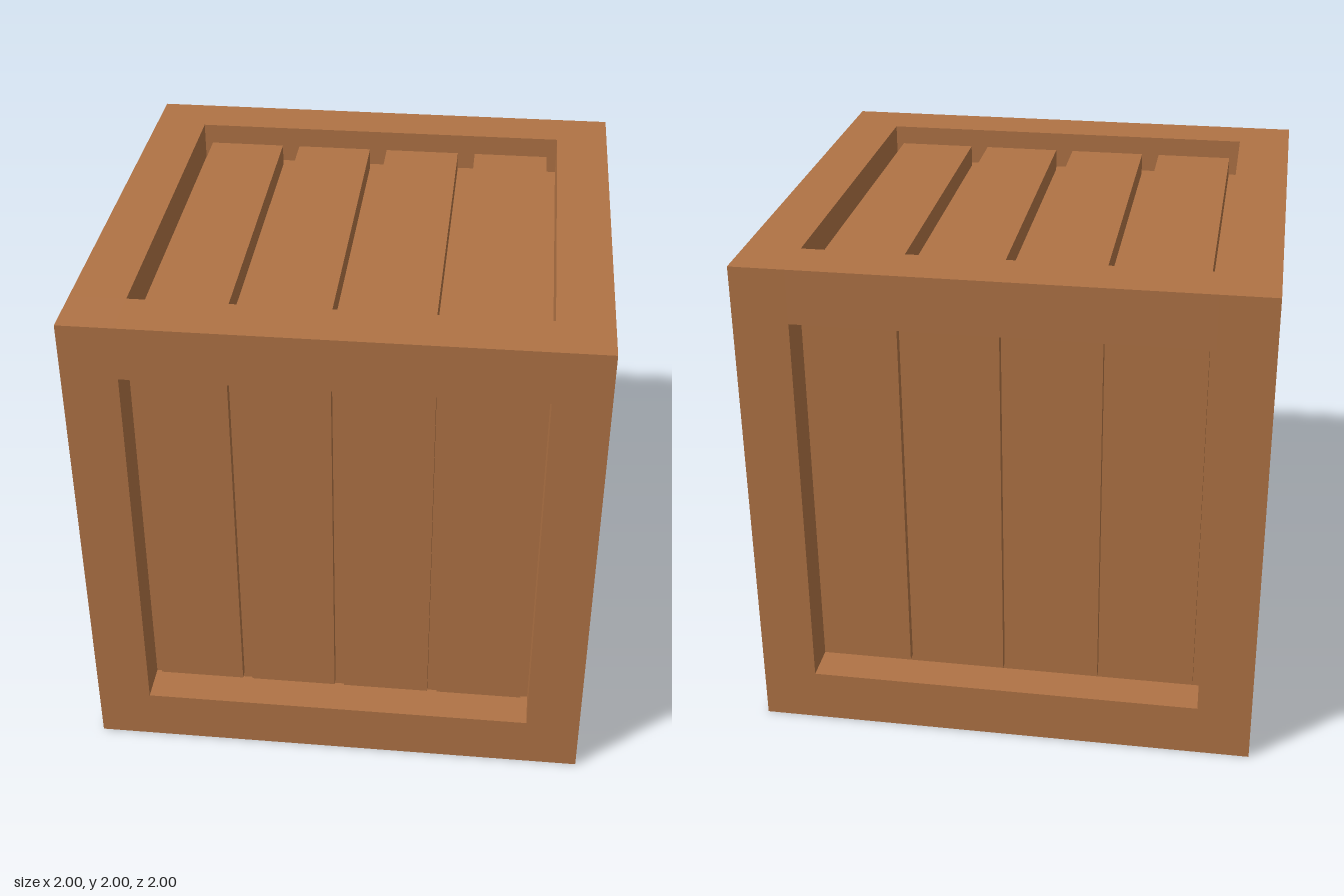
import * as THREE from 'three';

const BEAM = 0.215;   // thickness of the frame timbers
const RECESS = 0.155; // depth of the inner panels

export function createModel() {
  const crate = new THREE.Group();
  crate.name = 'crate';
  const wood = new THREE.MeshStandardMaterial({ color: 0xb07345 });
  wood.name = 'wood';

  const box = (parent, name, size, pos) => {
    const mesh = new THREE.Mesh(new THREE.BoxGeometry(...size), wood);
    mesh.name = name;
    mesh.position.set(...pos);
    parent.add(mesh);
    return mesh;
  };

  // Frame: four corner posts and eight rails between them
  const frame = new THREE.Group();
  frame.name = 'frame';
  crate.add(frame);
  const off = 1 - BEAM / 2;
  const span = 2 - 2 * BEAM;
  for (const a of [-1, 1]) {
    for (const b of [-1, 1]) {
      box(frame, 'cornerPost', [BEAM, 2, BEAM], [a * off, 1, b * off]);
      box(frame, 'railAcross', [span, BEAM, BEAM], [0, 1 + a * off, b * off]);
      box(frame, 'railDeep', [BEAM, BEAM, span], [a * off, 1 + b * off, 0]);
    }
  }

  // Inner box: the recessed panels behind the slats, and the plain underside
  const core = 2 - 2 * RECESS;
  box(crate, 'innerPanels', [core, core, core], [0, 1, 0]);

  // Four slats standing on the panel, laid out in a local XY plane facing +z
  const slats = (name, width, pitch, length, depth) => {
    const group = new THREE.Group();
    group.name = name;
    group.position.y = 1;
    const thick = RECESS - depth;
    for (let i = 0; i < 4; i++) {
      box(group, 'slat', [width, length, thick], [(i - 1.5) * pitch, 0, 1 - RECESS + thick / 2]);
    }
    crate.add(group);
    return group;
  };

  // Upright slats on the four sides
  ['frontSlats', 'leftSlats', 'backSlats', 'rightSlats'].forEach((name, i) => {
    slats(name, 0.348, 0.388, 1.515, 0.118).rotation.y = i * Math.PI / 2;
  });

  // Thicker, narrower slats on the lid, running front to back
  slats('lidSlats', 0.316, 0.39, 1.485, 0.065).rotation.x = -Math.PI / 2;

  return crate;
}
